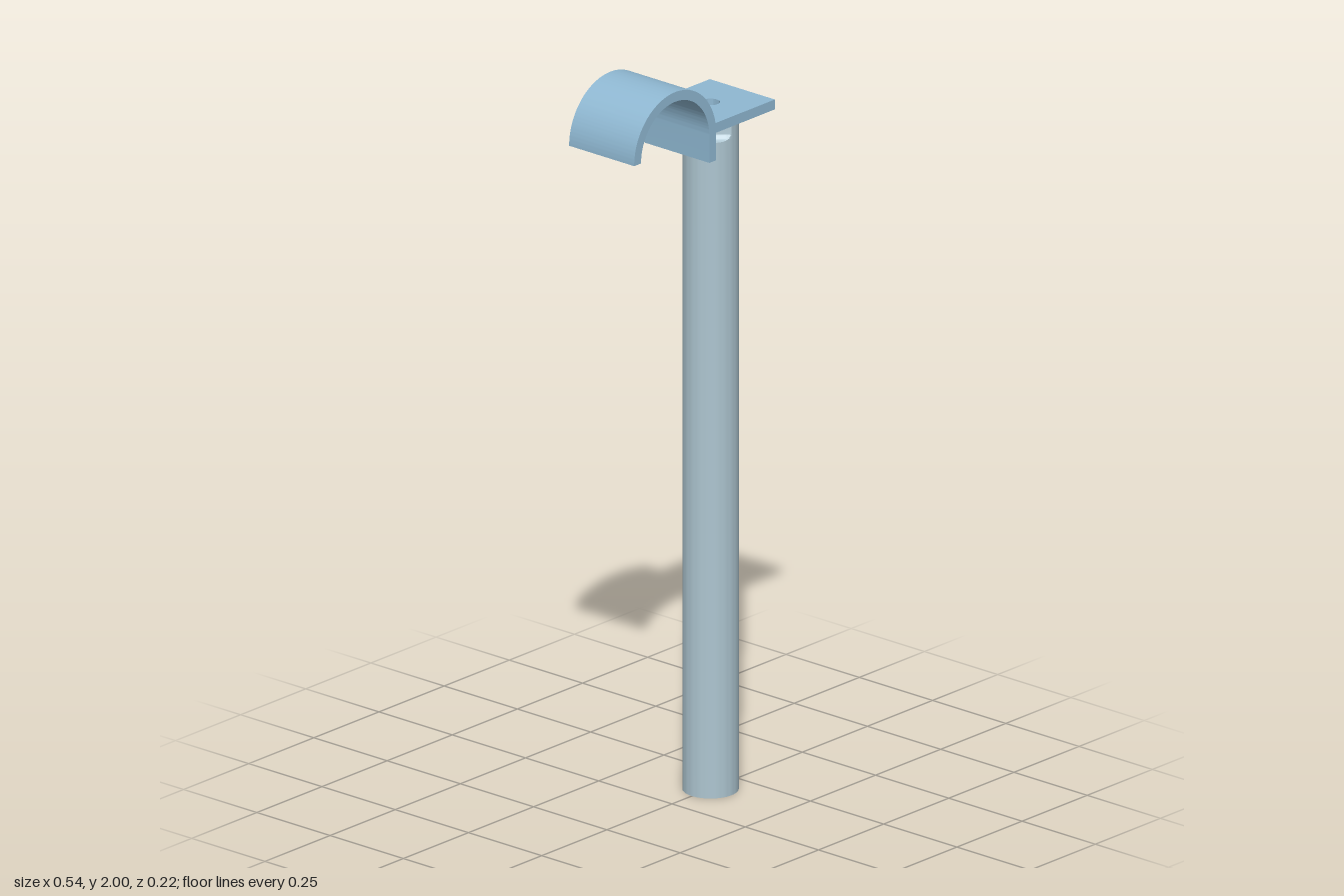
import * as THREE from 'three';
import { toCreasedNormals } from 'three/addons/utils/BufferGeometryUtils.js';

const DEPTH = 0.222;    // bracket depth along z
const POST_X = 0.148;   // post axis
const POST_R = 0.072;
const PLATE_Y = 1.845;  // underside of the plate

function addMesh(group, name, geometry, color) {
  const material = new THREE.MeshStandardMaterial({ color });
  const mesh = new THREE.Mesh(toCreasedNormals(geometry, 0.5), material);
  mesh.name = name;
  group.add(mesh);
  return mesh;
}

// Half-round clip with a longer leg on the plate side
function clipGeometry() {
  const cx = -0.1125, cy = 1.8425, outer = 0.1575, inner = 0.131, legY = 1.77;
  const s = new THREE.Shape();
  s.moveTo(cx + outer, legY);
  s.lineTo(cx + outer, cy);
  s.absarc(cx, cy, outer, 0, Math.PI, false);
  s.lineTo(cx - inner, cy);
  s.absarc(cx, cy, inner, Math.PI, 0, true);
  s.lineTo(cx + inner, legY);
  s.closePath();
  return new THREE.ExtrudeGeometry(s, { depth: DEPTH, bevelEnabled: false, curveSegments: 48 })
    .translate(0, 0, -DEPTH / 2);
}

// Flat plate with a round hole over the post
function plateGeometry() {
  const x0 = 0.041, x1 = 0.27, h = DEPTH / 2;
  const s = new THREE.Shape();
  s.moveTo(x0, -h);
  s.lineTo(x1, -h);
  s.lineTo(x1, h);
  s.lineTo(x0, h);
  s.closePath();
  const hole = new THREE.Path();
  hole.absarc(POST_X, 0, 0.024, 0, Math.PI * 2, true);
  s.holes.push(hole);
  return new THREE.ExtrudeGeometry(s, { depth: 0.027, bevelEnabled: false, curveSegments: 32 })
    .rotateX(-Math.PI / 2).translate(0, PLATE_Y, 0);
}

// Round post lofted from rings; near the top, two opposite flats end in filleted ledges
function postGeometry() {
  const N = 64, ledgeY = 1.787, flat = POST_R * Math.SQRT1_2, fillet = 0.021;
  // each ring: height, radius, half width across the flats
  const rings = [[0, 0, 1], [0, POST_R, 1], [ledgeY, POST_R, 1]];
  for (let i = 0; i <= 8; i++) {
    const a = (i / 8) * Math.PI / 2;
    rings.push([ledgeY + fillet * (1 - Math.cos(a)), POST_R, flat + fillet * (1 - Math.sin(a))]);
  }
  rings.push([PLATE_Y, POST_R, flat], [PLATE_Y, 0, 1]);

  const positions = [], index = [];
  for (const [y, r, half] of rings) {
    for (let i = 0; i < N; i++) {
      const a = (i / N) * Math.PI * 2;
      positions.push(THREE.MathUtils.clamp(r * Math.cos(a), -half, half), y, r * Math.sin(a));
    }
  }
  for (let k = 0; k < rings.length - 1; k++) {
    for (let i = 0; i < N; i++) {
      const j = (i + 1) % N, a = k * N + i, b = k * N + j;
      index.push(a, a + N, b, b, a + N, b + N);
    }
  }
  const g = new THREE.BufferGeometry();
  g.setAttribute('position', new THREE.Float32BufferAttribute(positions, 3));
  g.setIndex(index);
  return g;
}

export function createModel() {
  const model = new THREE.Group();
  model.name = 'clipOnPost';

  const bracket = new THREE.Group();
  bracket.name = 'bracket';
  addMesh(bracket, 'clip', clipGeometry(), 0x8fb8d2);
  addMesh(bracket, 'plate', plateGeometry(), 0x8fb8d2);
  model.add(bracket);

  // Flats face diagonally
  const post = addMesh(model, 'post', postGeometry(), 0xadc5d0);
  post.position.x = POST_X;
  post.rotation.y = Math.PI / 4;
  return model;
}
